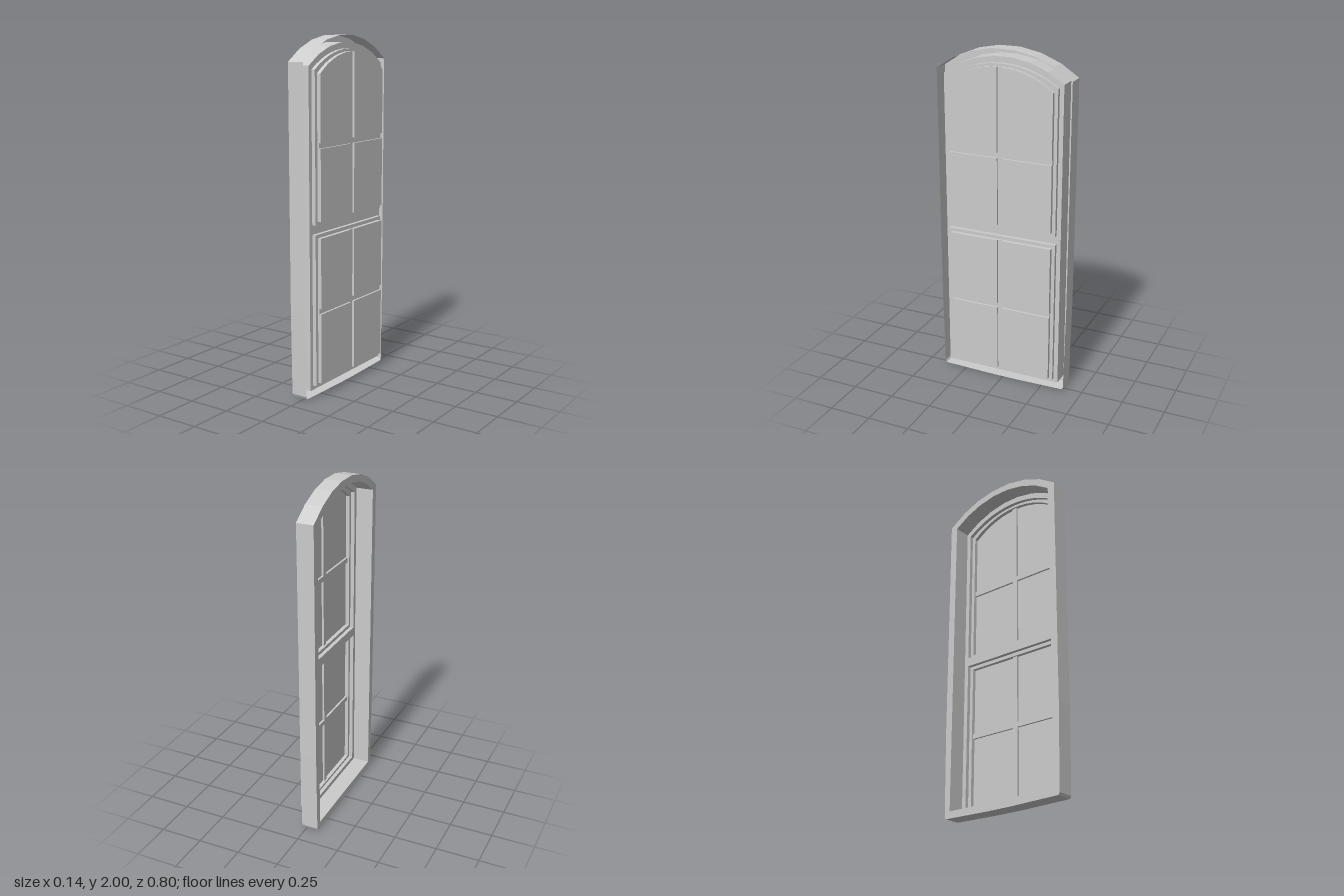
import * as THREE from 'three';

const material = new THREE.MeshStandardMaterial({ color: 0xcccccc, side: THREE.DoubleSide, flatShading: true });

// Depths along x, from the outer face of the frame to the panes
const FACE = -0.072, BACK = 0.026, SASH = 0.028, STEP = 0.05, MUNTIN = 0.06, GLASS = 0.072;

// Circular arch through (halfWidth, spring) with its top at peak
const arch = (halfWidth, spring, peak) => {
  const rise = peak - spring;
  return { peak, r: (halfWidth * halfWidth + rise * rise) / (2 * rise) };
};

// Points of an arch from z1 to z0, evenly spaced by angle
function archPoints({ peak, r }, z0, z1, segments) {
  const a0 = Math.asin(z0 / r), a1 = Math.asin(z1 / r);
  return Array.from({ length: segments + 1 }, (_, i) => {
    const a = a1 + (a0 - a1) * i / segments;
    return new THREE.Vector2(r * Math.sin(a), peak - r + r * Math.cos(a));
  });
}

// Outline with a flat bottom and a flat (number) or arched top
function outline(z0, z1, bottom, top, segments = 14) {
  const base = [new THREE.Vector2(z0, bottom), new THREE.Vector2(z1, bottom)];
  return base.concat(typeof top === 'number'
    ? [new THREE.Vector2(z1, top), new THREE.Vector2(z0, top)]
    : archPoints(top, z0, z1, segments));
}

function add(group, name, geometry) {
  const mesh = new THREE.Mesh(geometry, material);
  mesh.name = name;
  group.add(mesh);
}

// Flat sheet across the window at depth x
function sheet(group, name, points, x, holes = []) {
  const shape = new THREE.Shape(points);
  shape.holes = holes.map((h) => new THREE.Path(h));
  add(group, name, new THREE.ShapeGeometry(shape).rotateY(Math.PI / 2).translate(x, 0, 0));
}

// Wall following an outline between two depths
function wall(group, name, points, x0, x1) {
  const pos = [];
  points.forEach((p, i) => {
    const q = points[(i + 1) % points.length];
    const a = [x0, p.y, -p.x], b = [x0, q.y, -q.x], c = [x1, q.y, -q.x], d = [x1, p.y, -p.x];
    pos.push(...a, ...b, ...c, ...a, ...c, ...d);
  });
  const g = new THREE.BufferGeometry();
  g.setAttribute('position', new THREE.Float32BufferAttribute(pos, 3));
  g.computeVertexNormals();
  add(group, name, g);
}

// One sash: stepped rim, cross of muntins and four panes
function createSash(name, outer, inner, bottom, top, innerTop, barY) {
  const g = new THREE.Group();
  g.name = name;
  const w = 0.31, bar = 0.015;
  wall(g, 'sashOuterWall', outer, SASH, STEP);
  sheet(g, 'sashRim', outer, STEP, [inner]);
  wall(g, 'sashInnerWall', inner, STEP, MUNTIN);
  sheet(g, 'verticalMuntin', outline(-bar, bar, bottom, innerTop, 2), MUNTIN);
  for (const [z0, z1] of [[-w, -bar], [bar, w]]) {
    sheet(g, 'horizontalMuntin', outline(z0, z1, barY - bar, barY + bar), MUNTIN);
    for (const pane of [outline(z0, z1, bottom, barY - bar), outline(z0, z1, barY + bar, top, 7)]) {
      wall(g, 'paneEdge', pane, MUNTIN, GLASS);
      sheet(g, 'pane', pane, GLASS);
    }
  }
  return g;
}

export function createModel() {
  const model = new THREE.Group();
  model.name = 'archedWindow';

  // Outer frame: a shell open at the back, with a slightly bowed foot
  const foot = [[0.398, 0.5], [0.39, 0.02], [0.383, 0.006], [0.08, 0]];
  const frameOuter = [
    ...foot.slice().reverse().map(([z, y]) => new THREE.Vector2(z, y)),
    ...archPoints(arch(0.4, 1.86, 2), -0.4, 0.4, 7),
    ...foot.map(([z, y]) => new THREE.Vector2(-z, y)),
  ];
  const frameInner = outline(-0.355, 0.355, 0.045, arch(0.355, 1.84, 1.96), 7);
  const frame = new THREE.Group();
  frame.name = 'frame';
  wall(frame, 'frameOuterWall', frameOuter, FACE, BACK);
  sheet(frame, 'frameFace', frameOuter, FACE, [frameInner]);
  wall(frame, 'frameInnerWall', frameInner, FACE, SASH);

  // Openings for the two sashes
  const upperTop = arch(0.31, 1.8, 1.91);
  const upperOuter = outline(-0.33, 0.33, 0.985, arch(0.33, 1.82, 1.925));
  const upperInner = outline(-0.31, 0.31, 1.005, upperTop);
  const lowerOuter = outline(-0.33, 0.33, 0.07, 0.932);
  const lowerInner = outline(-0.31, 0.31, 0.085, 0.912);
  sheet(frame, 'backingRail', frameInner, SASH, [upperOuter, lowerOuter]);

  model.add(
    frame,
    createSash('upperSash', upperOuter, upperInner, 1.005, upperTop, upperTop, 1.417),
    createSash('lowerSash', lowerOuter, lowerInner, 0.085, 0.912, 0.912, 0.5),
  );
  return model;
}
